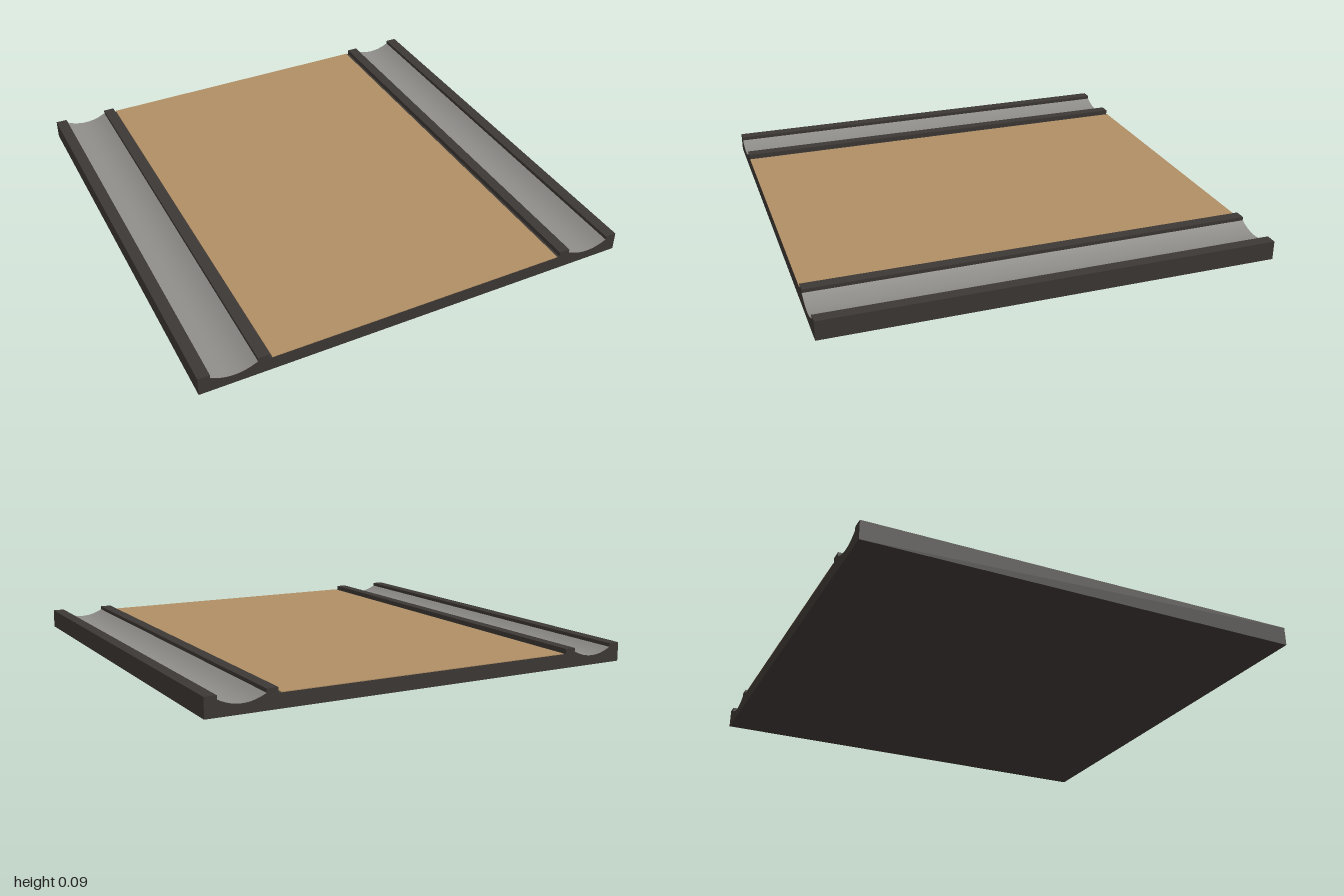
import * as THREE from 'three';

const LENGTH = 2;
const DECK_Y = 0.063;
const GUTTER = { inner: 0.747, outer: 0.948, edgeY: 0.067, lowY: 0.04, steps: 12 };

// Height of the shallow gutter trough at t = 0..1 across its width
const gutterY = (t) => GUTTER.lowY + (GUTTER.edgeY - GUTTER.lowY) * (2 * t - 1) ** 2;

// Right half of the cross-section, from the lane deck to the outer edge
function halfProfile() {
  const points = [[0.697, DECK_Y], [0.697, 0.085], [GUTTER.inner, 0.085]];
  for (let i = 0; i <= GUTTER.steps; i++) {
    const t = i / GUTTER.steps;
    points.push([THREE.MathUtils.lerp(GUTTER.inner, GUTTER.outer, t), gutterY(t)]);
  }
  points.push([GUTTER.outer, 0.085], [1, 0.085], [1, 0]);
  return points;
}

export function createModel() {
  const model = new THREE.Group();
  model.name = 'laneSection';

  const frameMaterial = new THREE.MeshStandardMaterial({ color: 0x3d3835 });
  frameMaterial.name = 'dark frame';
  const woodMaterial = new THREE.MeshStandardMaterial({ color: 0xb08f65 });
  woodMaterial.name = 'lane wood';
  const gutterMaterial = new THREE.MeshStandardMaterial({ color: 0x8e8c89, side: THREE.DoubleSide });
  gutterMaterial.name = 'gutter grey';

  const add = (name, geometry, material) => {
    const mesh = new THREE.Mesh(geometry, material);
    mesh.name = name;
    model.add(mesh);
    return mesh;
  };

  // Base with raised lips and hollowed gutters, one extruded section
  const right = halfProfile();
  const left = right.map(([x, y]) => [-x, y]).reverse();
  const section = new THREE.Shape([...left, ...right].map(([x, y]) => new THREE.Vector2(x, y)));
  const frame = new THREE.ExtrudeGeometry(section, { depth: LENGTH, bevelEnabled: false });
  frame.translate(0, 0, -LENGTH / 2);
  add('frame', frame, frameMaterial);

  // Wooden deck, a thin plate between the inner lips
  const deck = add('laneDeck', new THREE.BoxGeometry(1.37, 0.003, LENGTH), woodMaterial);
  deck.position.y = DECK_Y + 0.0015;

  // Curved gutter linings, just above the frame's troughs
  const width = GUTTER.outer - GUTTER.inner;
  for (const [side, name] of [[1, 'leftGutter'], [-1, 'rightGutter']]) {
    const lining = new THREE.PlaneGeometry(width, LENGTH, GUTTER.steps, 1).rotateX(-Math.PI / 2);
    const pos = lining.attributes.position;
    for (let i = 0; i < pos.count; i++) pos.setY(i, gutterY(pos.getX(i) / width + 0.5) + 0.002);
    lining.computeVertexNormals();
    add(name, lining, gutterMaterial).position.x = side * (GUTTER.inner + GUTTER.outer) / 2;
  }

  return model;
}
